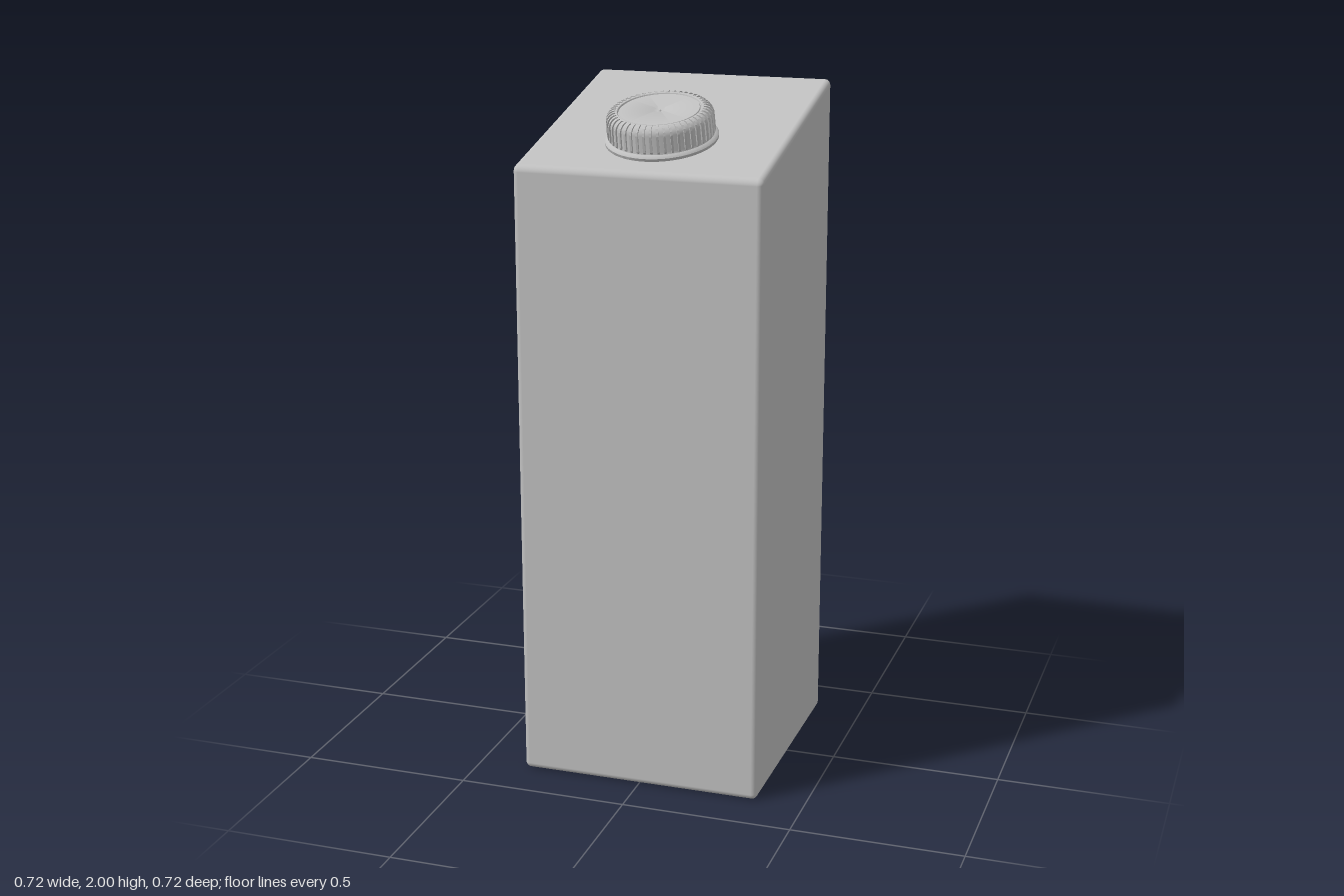
import * as THREE from 'three';
import { mergeGeometries, toCreasedNormals } from 'three/addons/utils/BufferGeometryUtils.js';
import { RoundedBoxGeometry } from 'three/addons/geometries/RoundedBoxGeometry.js';

const SLOPE = 0.25;      // fall of the roof towards the front
const ROOF_Y = 1.906;    // roof height at z = 0
const RIBS = 48;

// Rounded box whose upper half is sheared into a sloping roof
function cartonGeometry() {
  const geo = new RoundedBoxGeometry(0.72, ROOF_Y, 0.72, 4, 0.017);
  const pos = geo.attributes.position, nor = geo.attributes.normal;
  const n = new THREE.Vector3();
  for (let i = 0; i < pos.count; i++) {
    if (pos.getY(i) <= 0) continue;
    pos.setY(i, pos.getY(i) - SLOPE * pos.getZ(i));
    n.fromBufferAttribute(nor, i);
    n.z += SLOPE * n.y;
    n.normalize();
    nor.setXYZ(i, n.x, n.y, n.z);
  }
  return geo.translate(0, ROOF_Y / 2, 0);
}

// Turned cap: bottom collar, wall, rounded rim, groove, lid disc and centre dimple
function capGeometry() {
  const profile = [
    [0.12, -0.004], [0.157, -0.004], [0.16, 0.002], [0.16, 0.008], [0.156, 0.013],
    [0.15, 0.016], [0.148, 0.022], [0.147, 0.068], [0.144, 0.077], [0.138, 0.084],
    [0.13, 0.089], [0.12, 0.091], [0.118, 0.09], [0.116, 0.086], [0.114, 0.086],
    [0.112, 0.089], [0.02, 0.089], [0.017, 0.087], [0.005, 0.084], [0.003, 0.087], [0, 0.087],
  ].map(([r, y]) => new THREE.Vector2(r, y));
  return toCreasedNormals(new THREE.LatheGeometry(profile, 96), 0.6);
}

// Grip ribs that run up the wall and over the rim
function ribsGeometry() {
  const shape = new THREE.Shape([
    [0.14, 0.018], [0.15, 0.018], [0.1525, 0.023], [0.1515, 0.069], [0.148, 0.079],
    [0.14, 0.088], [0.131, 0.0925], [0.125, 0.0925], [0.122, 0.089], [0.13, 0.082], [0.14, 0.07],
  ].map(([r, y]) => new THREE.Vector2(r, y)));
  const depth = 0.0065;
  const rib = new THREE.ExtrudeGeometry(shape, { depth, bevelEnabled: false });
  rib.translate(0, 0, -depth / 2);
  const ribs = [];
  for (let i = 0; i < RIBS; i++) {
    ribs.push(rib.clone().rotateY((i / RIBS) * Math.PI * 2));
  }
  return mergeGeometries(ribs);
}

export function createModel() {
  const grey = new THREE.MeshStandardMaterial({ color: 0xc0c0c0 });
  grey.name = 'plain grey';

  const add = (parent, name, geometry) => {
    const mesh = new THREE.Mesh(geometry, grey);
    mesh.name = name;
    parent.add(mesh);
  };

  const model = new THREE.Group();
  model.name = 'carton';
  add(model, 'cartonBody', cartonGeometry());

  // Screw cap standing square on the sloping roof
  const cap = new THREE.Group();
  cap.name = 'screwCap';
  add(cap, 'capBody', capGeometry());
  add(cap, 'capRibs', ribsGeometry());
  cap.position.set(0, ROOF_Y - SLOPE * 0.13, 0.13);
  cap.rotation.x = Math.atan(SLOPE);
  model.add(cap);

  return model;
}
